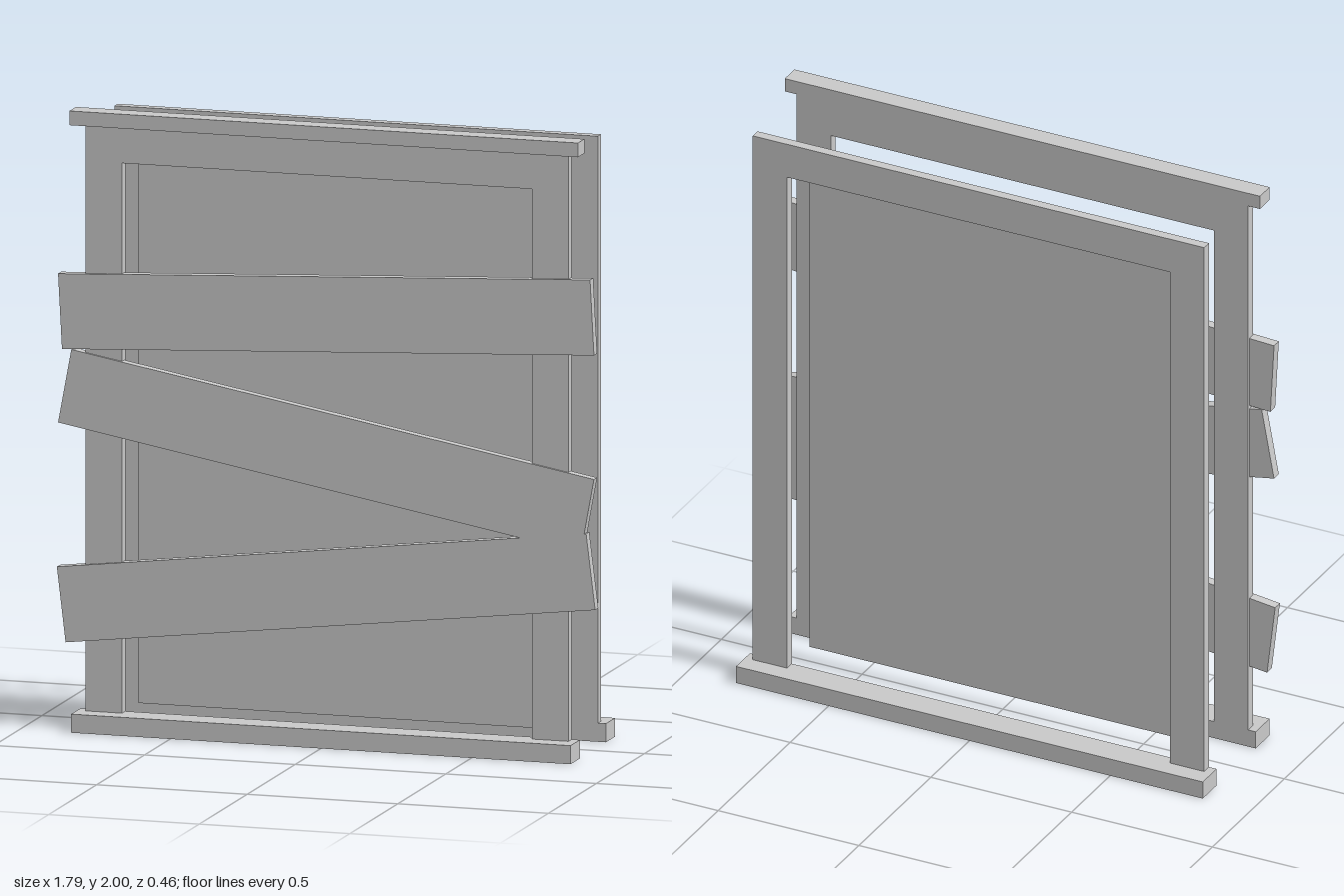
import * as THREE from 'three';

export function createModel() {
  const model = new THREE.Group();
  model.name = 'boardedWindow';
  const grey = new THREE.MeshStandardMaterial({ color: 0xc8c8c8 });
  grey.name = 'lightGrey';

  // Flat outline extruded between two depths
  function plate(name, points, z0, z1, parent = model) {
    const shape = new THREE.Shape(points.map(([x, y]) => new THREE.Vector2(x, y)));
    const geometry = new THREE.ExtrudeGeometry(shape, { depth: z1 - z0, bevelEnabled: false });
    geometry.translate(0, 0, z0);
    const mesh = new THREE.Mesh(geometry, grey);
    mesh.name = name;
    parent.add(mesh);
  }

  // Box centred on x, given by half width and its y and z ranges
  function bar(name, halfWidth, y0, y1, z0, z1, parent = model) {
    const mesh = new THREE.Mesh(new THREE.BoxGeometry(halfWidth * 2, y1 - y0, z1 - z0), grey);
    mesh.position.set(0, (y0 + y1) / 2, (z0 + z1) / 2);
    mesh.name = name;
    parent.add(mesh);
  }

  // Front and back casings: two stiles joined by a top rail, standing on a sill
  const casing = [
    [-0.802, 0.06], [-0.68, 0.06], [-0.68, 1.835], [0.68, 1.835],
    [0.68, 0.06], [0.802, 0.06], [0.802, 1.954], [-0.802, 1.954],
  ];
  for (const side of ['front', 'back']) {
    const group = new THREE.Group();
    group.name = side + 'Casing';
    const [f0, f1, s0, s1] = side === 'front'
      ? [0.136, 0.169, 0.136, 0.232]
      : [-0.169, -0.136, -0.232, -0.136];
    plate(side + 'Frame', casing, f0, f1, group);
    bar(side + 'Sill', 0.829, 0, 0.06, s0, s1, group);
    model.add(group);
  }

  // Cap over the front casing only
  bar('frontCap', 0.844, 1.954, 2, 0.136, 0.203);

  // Thin pane between the casings
  bar('pane', 0.68, 0.06, 1.833, -0.012, -0.002);

  // Crooked boards nailed across the front
  const boards = {
    upperBoard: [[-0.877, 1.225], [0.889, 1.312], [0.876, 1.555], [-0.89, 1.467]],
    middleBoard: [[-0.89, 0.987], [0.845, 0.672], [0.889, 0.912], [-0.846, 1.225]],
    lowerBoard: [[-0.865, 0.279], [0.893, 0.491], [0.863, 0.735], [-0.894, 0.521]],
  };
  for (const [name, outline] of Object.entries(boards)) plate(name, outline, 0.144, 0.177);

  return model;
}
